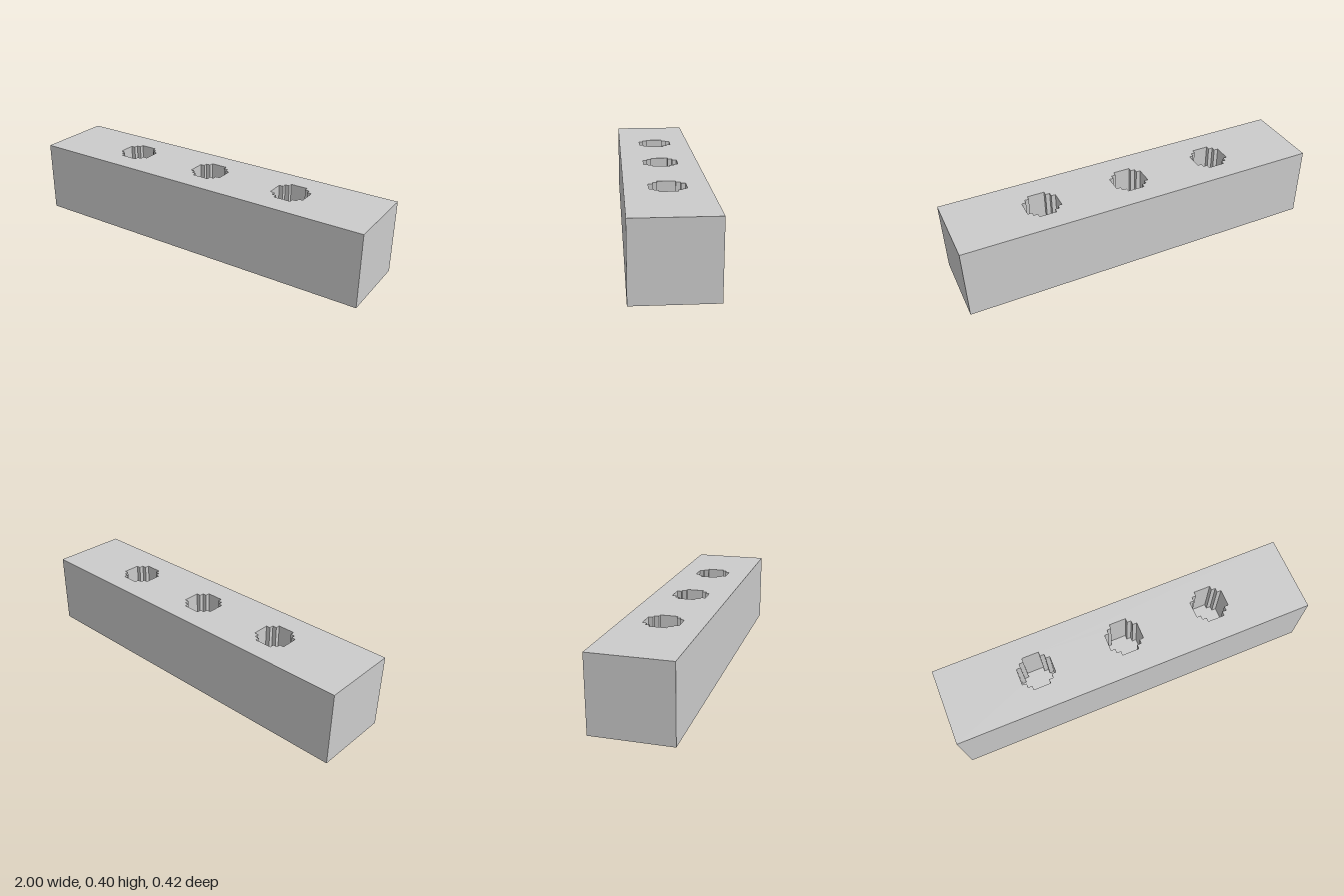
import * as THREE from 'three';

const LENGTH = 2, HEIGHT = 0.4, DEPTH = 0.42;
const WELL_DEPTH = 0.25, STEP = 0.0233;
const WELL_X = [-0.493, 0.007, 0.507], WELL_Z = -0.005;

// Stepped round outline, counter-clockwise: one quarter turned four times
function wellOutline(cx, cy) {
  const points = [];
  let quarter = [[4, 2], [3, 2], [3, 3], [2, 3], [2, 4]];
  for (let i = 0; i < 4; i++) {
    for (const [x, y] of quarter) points.push(new THREE.Vector2(cx + x * STEP, cy + y * STEP));
    quarter = quarter.map(([x, y]) => [-y, x]);
  }
  return points;
}

// Inward-facing walls between the rim and the floor of a well
function wellWalls(outline) {
  const pos = [], top = HEIGHT, low = HEIGHT - WELL_DEPTH;
  outline.forEach((a, i) => {
    const b = outline[(i + 1) % outline.length];
    pos.push(a.x, top, -a.y, b.x, top, -b.y, b.x, low, -b.y);
    pos.push(a.x, top, -a.y, b.x, low, -b.y, a.x, low, -a.y);
  });
  const geo = new THREE.BufferGeometry();
  geo.setAttribute('position', new THREE.Float32BufferAttribute(pos, 3));
  geo.computeVertexNormals();
  return geo;
}

// Horizontal face looking up at height y
function flatFace(shape, y) {
  return new THREE.ShapeGeometry(shape).rotateX(-Math.PI / 2).translate(0, y, 0);
}

export function createModel() {
  const group = new THREE.Group();
  group.name = 'blockWithWells';
  const material = new THREE.MeshStandardMaterial({ color: 0xcccccc, flatShading: true });
  const add = (name, geometry) => {
    const mesh = new THREE.Mesh(geometry, material);
    mesh.name = name;
    group.add(mesh);
  };

  // Block sides and underside: a box without its top face
  const box = new THREE.BoxGeometry(LENGTH, HEIGHT, DEPTH).translate(0, HEIGHT / 2, 0);
  const index = Array.from(box.index.array);
  index.splice(12, 6);
  box.setIndex(index);
  box.clearGroups();
  add('blockBody', box);

  // Top face pierced by the wells
  const x = LENGTH / 2, z = DEPTH / 2;
  const top = new THREE.Shape([[-x, -z], [x, -z], [x, z], [-x, z]].map(p => new THREE.Vector2(...p)));
  WELL_X.forEach((cx, i) => {
    const outline = wellOutline(cx, -WELL_Z);
    top.holes.push(new THREE.Path(outline));
    add(`wellWalls${i + 1}`, wellWalls(outline));
    add(`wellFloor${i + 1}`, flatFace(new THREE.Shape(outline), HEIGHT - WELL_DEPTH));
  });
  add('blockTop', flatFace(top, HEIGHT));

  return group;
}
